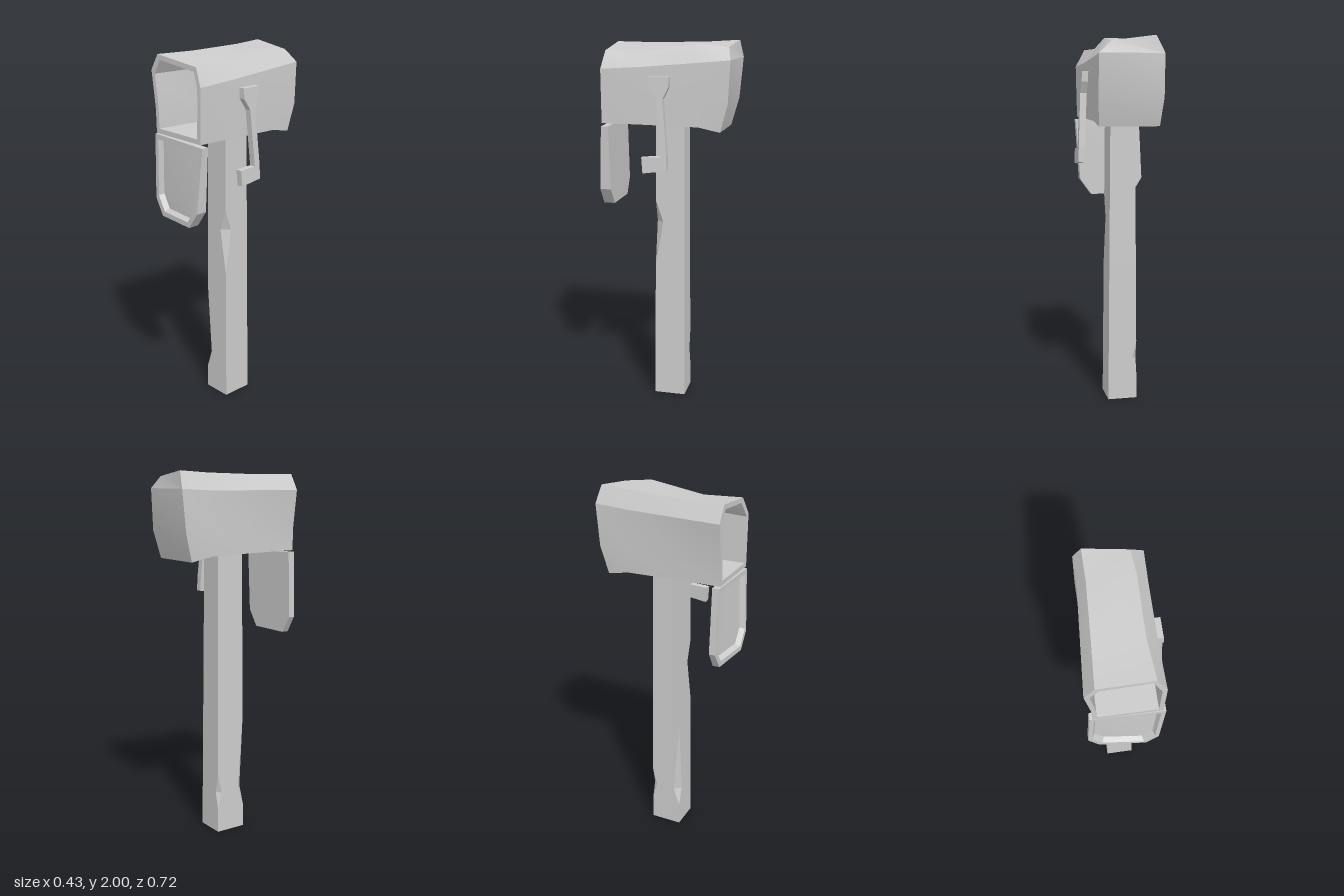
import * as THREE from 'three';
import { toCreasedNormals } from 'three/addons/utils/BufferGeometryUtils.js';

const material = new THREE.MeshStandardMaterial({ color: 0xcccccc });

// Skin a chain of equal-sized rings (clockwise seen from the first ring) and cap both ends.
function loft(rings, crease = 0.4) {
  const pos = [];
  const quad = (a, b, c, d) => pos.push(...a, ...b, ...c, ...a, ...c, ...d);
  const cap = (r) => {
    const n = r.length;
    for (let i = 0; i < n / 2 - 1; i++) quad(r[i], r[i + 1], r[n - 2 - i], r[n - 1 - i]);
  };
  for (let k = 0; k < rings.length - 1; k++) {
    const a = rings[k], b = rings[k + 1];
    a.forEach((p, i) => {
      const j = (i + 1) % a.length;
      quad(p, a[j], b[j], b[i]);
    });
  }
  cap([...rings[0]].reverse());
  cap(rings[rings.length - 1]);
  const geometry = new THREE.BufferGeometry();
  geometry.setAttribute('position', new THREE.Float32BufferAttribute(pos, 3));
  return toCreasedNormals(geometry, crease);
}

// Shrink a ring towards a centre in x and y, and shift it in z.
const inset = (ring, cx, cy, s, dz) =>
  ring.map(([x, y, z]) => [cx + (x - cx) * s, cy + (y - cy) * s, z + dz]);

function part(name, geometry) {
  const mesh = new THREE.Mesh(geometry, material);
  mesh.name = name;
  return mesh;
}

// Square post with chips cut out of three of its edges.
function createPost() {
  const lerp = THREE.MathUtils.lerp;
  const chip = (y, low, mid, high, depth) =>
    depth * Math.max(0, Math.min((y - low) / (mid - low), (high - y) / (high - mid)));
  const rings = [1.58, 1.14, 1.02, 0.77, 0.65, 0.33, 0.23, 0.13, 0].map((y) => {
    const t = y / 1.58;
    const x0 = lerp(-0.1, -0.088, t), x1 = lerp(0.063, 0.048, t);
    const z0 = lerp(-0.093, -0.083, t), z1 = lerp(0.08, 0.072, t);
    const a = chip(y, 0.13, 0.23, 0.65, 0.035);
    const b = chip(y, 0.13, 0.23, 0.33, 0.025);
    const c = chip(y, 0.77, 1.02, 1.14, 0.042);
    return [
      [x0 + a, y, z1], [x0, y, z1 - a],
      [x0, y, z0 + b], [x0 + b, y, z0],
      [x1, y, z0], [x1, y, z0],
      [x1, y, z1 - c], [x1 - c, y, z1],
    ];
  });
  return part('post', loft(rings, 0.1));
}

// Hollow box, open at the front, with a warped outline from front to back.
function createBox() {
  const at = (z, pts) => pts.map(([x, y, dz = 0]) => [x, y, z + dz]);
  const outer = [
    at(0.343, [[-0.185, 1.575], [-0.188, 1.7], [-0.215, 1.9], [-0.163, 1.985],
      [0.118, 1.95, -0.015], [0.166, 1.857], [0.163, 1.7], [0.16, 1.572]]),
    at(0.12, [[-0.18, 1.572], [-0.183, 1.7], [-0.2, 1.9], [-0.15, 1.982],
      [0.1, 1.945], [0.158, 1.87], [0.16, 1.7], [0.16, 1.57]]),
    at(-0.18, [[-0.178, 1.565], [-0.182, 1.7], [-0.18, 1.9], [-0.135, 1.99],
      [0.1, 1.99], [0.156, 1.895], [0.16, 1.7], [0.157, 1.565]]),
    at(-0.34, [[-0.17, 1.54, 0.04], [-0.183, 1.69, 0], [-0.18, 1.91, -0.02], [-0.137, 2, -0.005],
      [0.09, 1.972, 0.015], [0.158, 1.91, -0.005], [0.16, 1.69, 0.005], [0.15, 1.54, 0.045]]),
  ];
  const inner = outer.map((r, i) => inset(r, -0.015, 1.77, 0.87, i === 3 ? 0.03 : 0)).reverse();
  return part('box', loft([...inner, ...outer]));
}

// Lowered door with a raised rim and a shallow recess.
function createDoor() {
  const outline = [[-0.16, 1.12], [-0.217, 1.21], [-0.2, 1.568],
    [0.175, 1.556], [0.15, 1.21], [0.085, 1.12]];
  const front = outline.map(([x, y]) => [x, y, 0.342 + (1.57 - y) * (0.025 + x * 0.2)]);
  const back = outline.map(([x, y]) => [x, y, 0.305 - (1.57 - y) * 0.01]);
  const rim = inset(front, -0.02, 1.35, 0.88, 0);
  const recess = inset(front, -0.02, 1.35, 0.82, -0.028);
  return part('door', loft([recess, rim, front, back]));
}

// Flag: head, narrow arm and foot cut from one plate that leans outwards.
function createFlag() {
  const outline = [[0.075, 1.825], [0.075, 1.77], [0.035, 1.71], [0.012, 1.41], [0.112, 1.405],
    [0.105, 1.32], [-0.025, 1.338], [-0.023, 1.42], [0, 1.71], [-0.03, 1.77], [-0.032, 1.825]];
  const shape = new THREE.Shape(outline.map(([z, y]) => new THREE.Vector2(-z, y)));
  const geometry = new THREE.ExtrudeGeometry(shape, { depth: 0.035, bevelEnabled: false });
  geometry.rotateY(Math.PI / 2);
  const p = geometry.attributes.position;
  for (let i = 0; i < p.count; i++) p.setX(i, p.getX(i) + 0.157 + (1.825 - p.getY(i)) * 0.046);
  geometry.computeVertexNormals();
  return part('flag', geometry);
}

export function createModel() {
  const group = new THREE.Group();
  group.name = 'mailbox';
  group.add(createPost(), createBox(), createDoor(), createFlag());
  return group;
}
